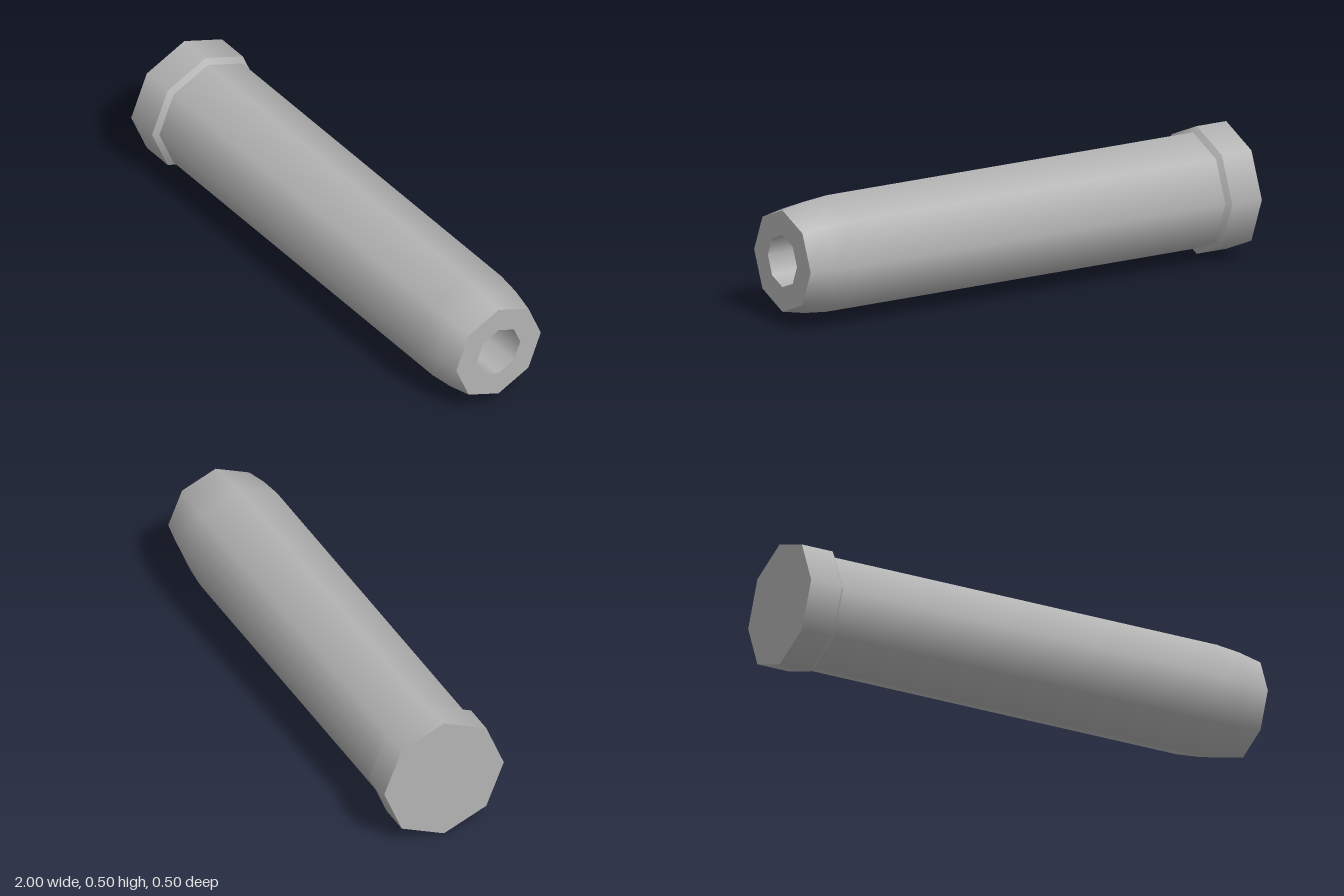
import * as THREE from 'three';

const SIDES = 8;
const CENTRE_Y = 0.253;

export function createModel() {
  const model = new THREE.Group();
  model.name = 'casing';

  const metal = new THREE.MeshStandardMaterial({ color: 0xb3b3b3 });
  metal.name = 'grey metal';

  // Turns a profile of [x, radius] points around the long x axis.
  // Each piece is smooth in itself and sharp against its neighbours.
  function turned(name, profile) {
    const points = profile.map(([x, r]) => new THREE.Vector2(r, x));
    const geometry = new THREE.LatheGeometry(points, SIDES);
    geometry.rotateZ(-Math.PI / 2);
    geometry.translate(0, CENTRE_Y, 0);
    const mesh = new THREE.Mesh(geometry, metal);
    mesh.name = name;
    model.add(mesh);
  }

  // Closed base and thick rim
  turned('baseCap', [[-1, 0], [-1, 0.252]]);
  turned('rim', [[-1, 0.252], [-0.867, 0.252]]);
  turned('rimBevel', [[-0.867, 0.252], [-0.85, 0.23]]);

  // Long body narrowing to the mouth
  turned('body', [[-0.85, 0.23], [0.8, 0.23], [0.9, 0.22], [1, 0.2]]);

  // Flat mouth with a blind bore
  turned('mouthRing', [[1, 0.2], [1, 0.103]]);
  turned('boreWall', [[1, 0.103], [0.6, 0.103]]);
  turned('boreFloor', [[0.6, 0.103], [0.6, 0]]);

  return model;
}
